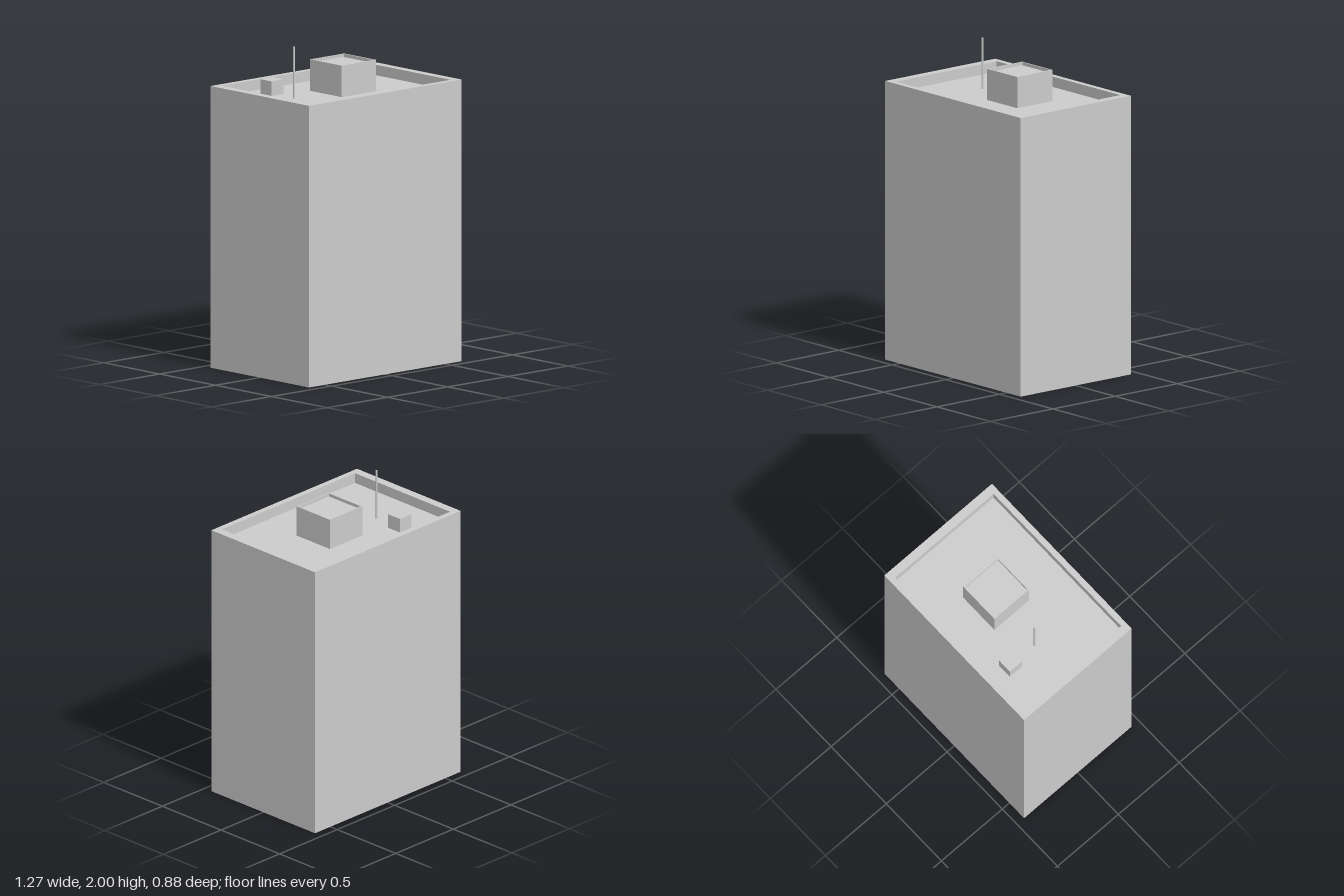
import * as THREE from 'three';

const material = new THREE.MeshStandardMaterial({ color: 0xcccccc, flatShading: true });

// Closed solid skinned over rectangular rings [halfWidth, halfDepth, y], capped at both ends
function ringSolid(rings) {
  const positions = [];
  const corners = rings.map(([w, d, y]) => [[-w, y, d], [w, y, d], [w, y, -d], [-w, y, -d]]);
  const quad = (a, b, c, d) => positions.push(...a, ...b, ...c, ...a, ...c, ...d);
  for (let i = 0; i < corners.length - 1; i++) {
    for (let j = 0; j < 4; j++) {
      const k = (j + 1) % 4;
      quad(corners[i][j], corners[i][k], corners[i + 1][k], corners[i + 1][j]);
    }
  }
  quad(...[...corners[0]].reverse());
  quad(...corners[corners.length - 1]);
  const geometry = new THREE.BufferGeometry();
  geometry.setAttribute('position', new THREE.Float32BufferAttribute(positions, 3));
  geometry.computeVertexNormals();
  return geometry;
}

// Block with a raised rim around a recessed top
function rimmedBlock(w, d, bottom, top, innerW, innerD, recess) {
  return ringSolid([
    [w, d, bottom],
    [w, d, top],
    [innerW, innerD, top],
    [innerW, innerD, top - recess],
  ]);
}

export function createModel() {
  const group = new THREE.Group();
  const add = (name, geometry, x = 0, y = 0, z = 0) => {
    const mesh = new THREE.Mesh(geometry, material);
    mesh.name = name;
    mesh.position.set(x, y, z);
    group.add(mesh);
  };
  const roofY = 1.68;

  // Tower block with a parapet around the sunken roof
  add('building', rimmedBlock(0.633, 0.442, 0, 1.745, 0.578, 0.405, 1.745 - roofY));

  // Stair and lift housing with its own low rim
  add('roofHousing', rimmedBlock(0.142, 0.142, roofY, 1.875, 0.132, 0.135, 0.02), 0.081, 0, -0.025);

  // Small ventilation unit
  const ventHeight = 1.77 - roofY;
  add('ventUnit', new THREE.BoxGeometry(0.1, ventHeight, 0.1), -0.299, roofY + ventHeight / 2, -0.251);

  // Thin antenna mast
  const mastHeight = 2 - roofY;
  add('antenna', new THREE.CylinderGeometry(0.006, 0.006, mastHeight, 8), -0.299, roofY + mastHeight / 2, -0.052);

  return group;
}
